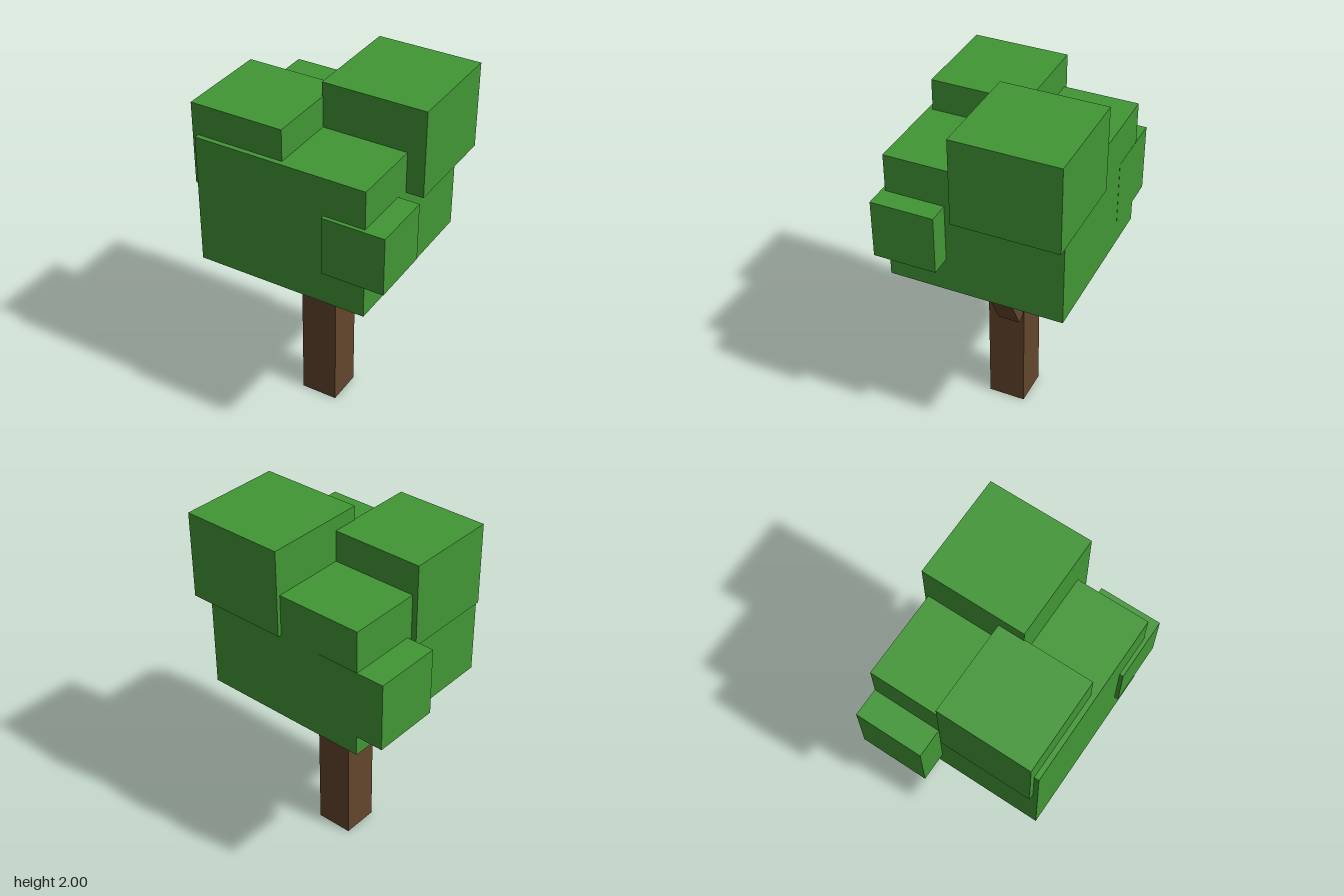
import * as THREE from 'three';

const leaf = new THREE.MeshStandardMaterial({ color: 0x419635, side: THREE.DoubleSide });
leaf.name = 'leafGreen';
const bark = new THREE.MeshStandardMaterial({ color: 0x63462d });
bark.name = 'barkBrown';

// Box given by its lower and upper corners
function boxBetween(name, min, max, material) {
  const size = max.map((v, i) => v - min[i]);
  const mesh = new THREE.Mesh(new THREE.BoxGeometry(...size), material);
  mesh.position.set(...max.map((v, i) => (v + min[i]) / 2));
  mesh.name = name;
  return mesh;
}

// Leaf block: a hollow box with no underside
function leafBlock(name, min, max) {
  const mesh = boxBetween(name, min, max, leaf);
  const index = Array.from(mesh.geometry.index.array);
  index.splice(18, 6); // the downward face
  mesh.geometry.setIndex(index);
  mesh.geometry.clearGroups();
  return mesh;
}

// Short square branch, tilted about x and z (degrees)
function branch(name, center, tiltX, tiltZ) {
  const mesh = new THREE.Mesh(new THREE.BoxGeometry(0.12, 0.345, 0.125), bark);
  mesh.position.set(...center);
  mesh.rotation.set(THREE.MathUtils.degToRad(tiltX), 0, THREE.MathUtils.degToRad(tiltZ));
  mesh.name = name;
  return mesh;
}

export function createModel() {
  const tree = new THREE.Group();
  tree.name = 'tree';

  // Trunk and branches
  tree.add(
    boxBetween('trunk', [-0.09, 0, -0.105], [0.122, 1.18, 0.105], bark),
    branch('leftBranch', [0.198, 0.8, -0.038], 0, -27.6),
    branch('rightBranch', [-0.085, 0.909, -0.019], -25, 9.8),
  );

  // Foliage
  tree.add(
    leafBlock('mainFoliage', [-0.465, 1.015, -0.485], [0.502, 1.748, 0.482]),
    leafBlock('upperBackFoliage', [0.02, 1.518, -0.506], [0.6, 2, 0.075]),
    leafBlock('upperFrontFoliage', [-0.496, 1.46, -0.07], [0.026, 1.922, 0.455]),
    leafBlock('rightFoliage', [-0.622, 1.13, -0.486], [-0.225, 1.515, -0.1]),
    leafBlock('leftFoliage', [0.272, 1.208, 0.155], [0.62, 1.536, 0.503]),
  );
  return tree;
}
